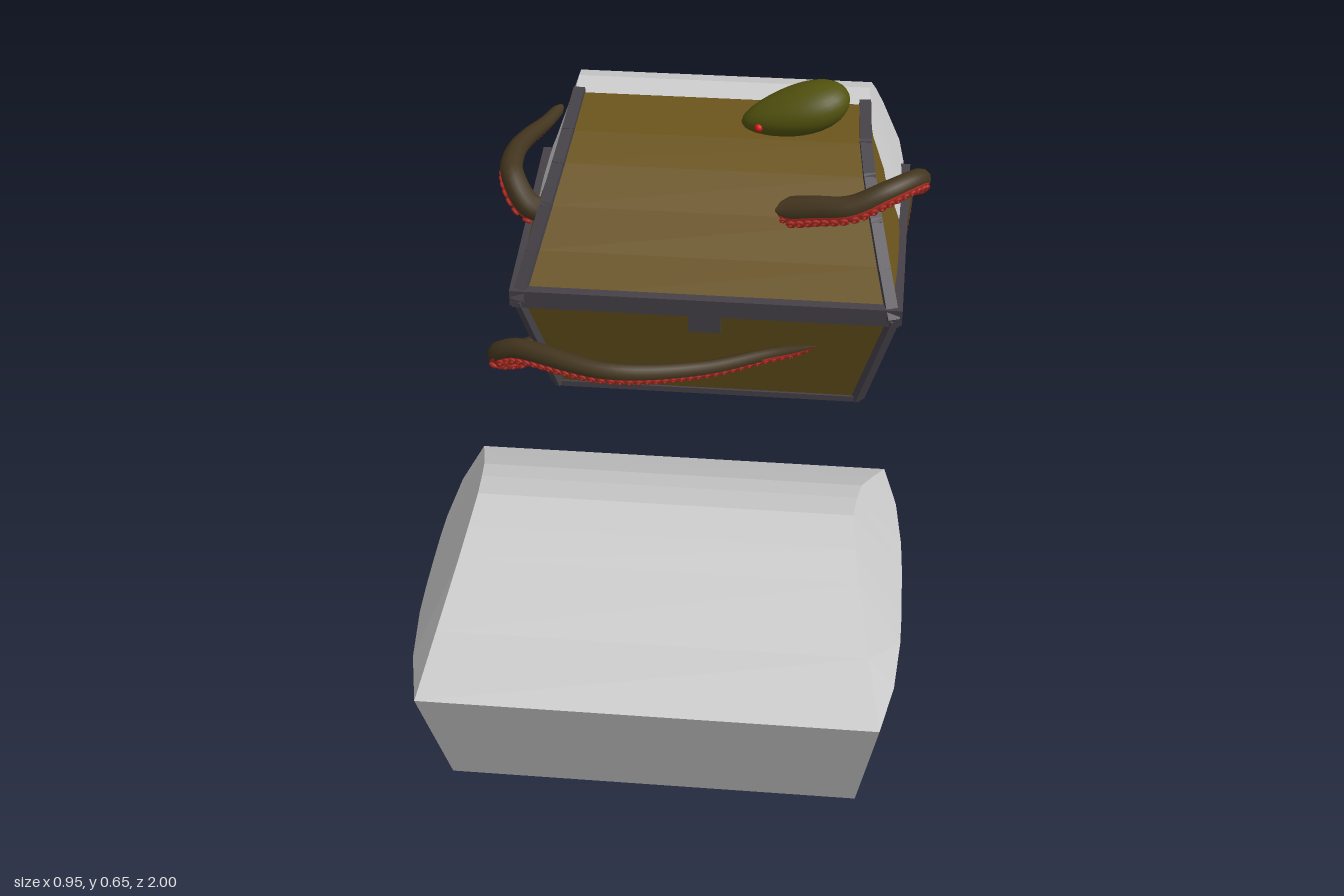
import * as THREE from 'three';
import { mergeGeometries } from 'three/addons/utils/BufferGeometryUtils.js';

const mat = (color, flat = false) =>
  new THREE.MeshStandardMaterial({ color, flatShading: flat, side: THREE.DoubleSide });
const GREY = mat(0xcccccc, true);
const WOOD = mat(0x6b541c, true);
const IRON = mat(0x454148, true);
const SKIN = mat(0x44361f);
const RED = mat(0xb02c22);
const HEAD = mat(0x52520f);
const EYE = mat(0xe01818);
const V = (x, y, z) => new THREE.Vector3(x, y, z);

function add(parent, name, geometry, material) {
  const mesh = new THREE.Mesh(geometry, material);
  mesh.name = name;
  parent.add(mesh);
  return mesh;
}

// Chest shell lofted through six-point sections, ordered by rising z.
// Section: floor half width, floor z, rim half width, rim z, lid half width, lid y
function chestShell(sections, floorY, rimY) {
  const pos = [], index = [];
  for (const { xb, zb, xr, zr, xl, yl } of sections) {
    pos.push(-xb, floorY, zb, -xr, rimY, zr, -xl, yl, zr);
    pos.push(xl, yl, zr, xr, rimY, zr, xb, floorY, zb);
  }
  const last = (sections.length - 1) * 6;
  for (let i = 0; i < last; i += 6) {
    for (let j = 0; j < 6; j++) {
      const a = i + j, b = i + (j + 1) % 6;
      index.push(a, a + 6, b, a + 6, b + 6, b);
    }
  }
  for (let j = 1; j < 5; j++) {
    index.push(0, j, j + 1, last, last + j + 1, last + j);
  }
  const g = new THREE.BufferGeometry();
  g.setAttribute('position', new THREE.Float32BufferAttribute(pos, 3));
  g.setIndex(index);
  const flat = g.toNonIndexed();
  flat.computeVertexNormals();
  return flat;
}

// Plain chest: bowed ends and an arched lid of the given rise
function plainChest(z, rise, arch) {
  const half = arch.map(([s, f]) => [s, f]);
  const all = [...half.map(([s, f]) => [-s, f]).reverse(), ...half.slice(1)];
  return chestShell(all.map(([s, f]) => ({
    xb: 0.36, zb: z + 0.25 * s,
    xr: 0.425 - 0.035 * Math.abs(s) ** 3, zr: z + 0.335 * s,
    xl: 0.39 - 0.06 * f, yl: 0.285 + rise * f,
  })), 0.015, 0.285);
}

// Iron band: a bar between two points
function band(parent, name, a, b, w, h) {
  const m = add(parent, name, new THREE.BoxGeometry(w, h, a.distanceTo(b) + 0.012), IRON);
  m.position.copy(a).lerp(b, 0.5);
  m.lookAt(b);
}

// Tapered arm with a red underside and two rows of suckers
function tentacle(parent, name, points, radius, down) {
  const group = new THREE.Group();
  group.name = name;
  parent.add(group);
  const curve = new THREE.CatmullRomCurve3(points.map(p => V(...p)));
  const seg = 48, sides = 10;
  const r = t => radius * (1 - 0.55 * t) * Math.sqrt(Math.min(1, 15 * t + 0.01, 15 * (1 - t) + 0.01));
  const under = t => {
    const tan = curve.getTangentAt(t);
    return V(...down).addScaledVector(tan, -tan.dot(V(...down))).normalize();
  };
  const sweep = (scale, shift) => {
    const g = new THREE.TubeGeometry(curve, seg, 1, sides);
    const p = g.attributes.position, v = V(0, 0, 0);
    for (let i = 0; i < p.count; i++) {
      const t = Math.floor(i / (sides + 1)) / seg, c = curve.getPointAt(t);
      v.fromBufferAttribute(p, i).sub(c).multiplyScalar(r(t) * scale).add(c);
      v.addScaledVector(under(t), r(t) * shift);
      p.setXYZ(i, v.x, v.y, v.z);
    }
    return g;
  };
  add(group, 'arm', sweep(1, 0), SKIN);
  add(group, 'underside', sweep(0.82, 0.3), RED);

  const rings = [], count = Math.round(curve.getLength() / 0.019);
  for (let i = 1; i < count; i++) {
    const t = i / count, c = curve.getPointAt(t), d = under(t), k = r(t);
    const side = curve.getTangentAt(t).cross(d);
    for (const s of [-1, 1]) {
      const n = d.clone().addScaledVector(side, s * 0.6).normalize();
      const g = new THREE.TorusGeometry(k * 0.26, k * 0.15, 5, 8);
      g.applyQuaternion(new THREE.Quaternion().setFromUnitVectors(V(0, 0, 1), n));
      const o = c.clone().addScaledVector(d, k * 0.3).addScaledVector(n, k * 0.85);
      rings.push(g.translate(o.x, o.y, o.z));
    }
  }
  add(group, 'suckers', mergeGeometries(rings), RED);
}

export function createModel() {
  const root = new THREE.Group();

  // Two plain grey chests
  add(root, 'frontPlainChest',
    plainChest(0.665, 0.175, [[0, 1], [0.2, 0.9], [0.38, 0.77], [0.7, 0.38], [1, 0]]), GREY);
  add(root, 'backPlainChest',
    plainChest(-0.665, 0.275, [[0, 1], [0.18, 0.93], [0.42, 0.7], [0.72, 0.36], [1, 0]]), GREY);

  // Wooden chest, sunk into the back grey one
  const chest = new THREE.Group();
  chest.name = 'woodenChest';
  root.add(chest);
  const lid = [[-0.16, 0.29], [-0.23, 0.37], [-0.3, 0.44], [-0.38, 0.5], [-0.46, 0.535], [-0.6, 0.552], [-0.755, 0.47]];
  const sections = lid.map(([z, y], i) => ({
    xb: 0.343, zb: -0.24 - 0.515 * (-0.16 - z) / 0.595,
    xr: 0.42 - 0.015 * ((z + 0.46) / 0.3) ** 2, zr: z,
    xl: 0.405 - 0.08 * (y - 0.29) / 0.262, yl: y,
  }));
  add(chest, 'body', chestShell([...sections].reverse(), 0.004, 0.29), WOOD);

  // Iron bands
  band(chest, 'frontRimBand', V(-0.41, 0.29, -0.167), V(0.41, 0.29, -0.167), 0.022, 0.042);
  for (const z of [-0.245, -0.75]) {
    band(chest, 'floorBand', V(-0.335, 0.007, z), V(0.335, 0.007, z), 0.026, 0.014);
  }
  for (const s of [-1, 1]) {
    band(chest, 'sideRimBand', V(s * 0.41, 0.29, -0.165), V(s * 0.425, 0.29, -0.75), 0.024, 0.038);
    band(chest, 'sideFloorBand', V(s * 0.332, 0.007, -0.24), V(s * 0.332, 0.007, -0.755), 0.026, 0.014);
    band(chest, 'cornerBand', V(s * 0.4, 0.28, -0.17), V(s * 0.338, 0.012, -0.243), 0.026, 0.026);
    for (let i = 0; i < 5; i++) {
      const a = sections[i], b = sections[i + 1];
      band(chest, 'lidBand', V(s * (a.xl - 0.004), a.yl, a.zr), V(s * (b.xl - 0.004), b.yl, b.zr), 0.026, 0.022);
    }
  }
  const latch = add(chest, 'latch', new THREE.BoxGeometry(0.07, 0.055, 0.022), IRON);
  latch.position.set(0, 0.25, -0.174);

  // Creature head: a rounded form narrowing and drooping to the snout
  const head = new THREE.Group();
  head.name = 'head';
  head.position.set(0.17, 0.585, -0.5);
  head.rotation.y = 0.15;
  root.add(head);
  const g = new THREE.SphereGeometry(1, 28, 20);
  const p = g.attributes.position;
  for (let i = 0; i < p.count; i++) {
    const t = p.getX(i), w = 1 + 0.25 * t;
    p.setXYZ(i, t * 0.118, p.getY(i) * 0.053 * w + 0.024 * t + 0.004, p.getZ(i) * 0.066 * w);
  }
  g.computeVertexNormals();
  add(head, 'skull', g, HEAD);
  for (const s of [-1, 1]) {
    add(head, 'eye', new THREE.SphereGeometry(0.009, 12, 8), EYE).position.set(-0.084, -0.016, s * 0.037);
  }

  // Arms, each listed from root to tip
  tentacle(root, 'frontTentacle', [[-0.34, 0.13, -0.24], [-0.41, 0.125, -0.185], [-0.452, 0.145, -0.15],
    [-0.41, 0.175, -0.13], [-0.2, 0.175, -0.068], [0, 0.15, -0.13], [0.14, 0.16, -0.18], [0.24, 0.18, -0.19]],
    0.029, [0, -0.8, 0.6]);
  tentacle(root, 'upperLeftArm', [[0.14, 0.45, -0.31], [0.22, 0.468, -0.295], [0.3, 0.482, -0.285],
    [0.38, 0.512, -0.31], [0.442, 0.51, -0.37], [0.447, 0.455, -0.44], [0.425, 0.4, -0.51], [0.405, 0.355, -0.565]],
    0.032, [0.2, -0.8, 0.5]);
  tentacle(root, 'lowerLeftArm', [[0.37, 0.17, -0.957], [0.405, 0.195, -0.91], [0.427, 0.188, -0.84],
    [0.424, 0.155, -0.75], [0.41, 0.125, -0.67], [0.385, 0.115, -0.61]],
    0.031, [0.2, -1, 0]);
  tentacle(root, 'upperRightArm', [[-0.36, 0.4, -0.34], [-0.4, 0.425, -0.325], [-0.437, 0.475, -0.36],
    [-0.447, 0.478, -0.44], [-0.435, 0.455, -0.56], [-0.41, 0.435, -0.66], [-0.385, 0.43, -0.75]],
    0.03, [-0.4, -0.9, 0.1]);

  return root;
}
